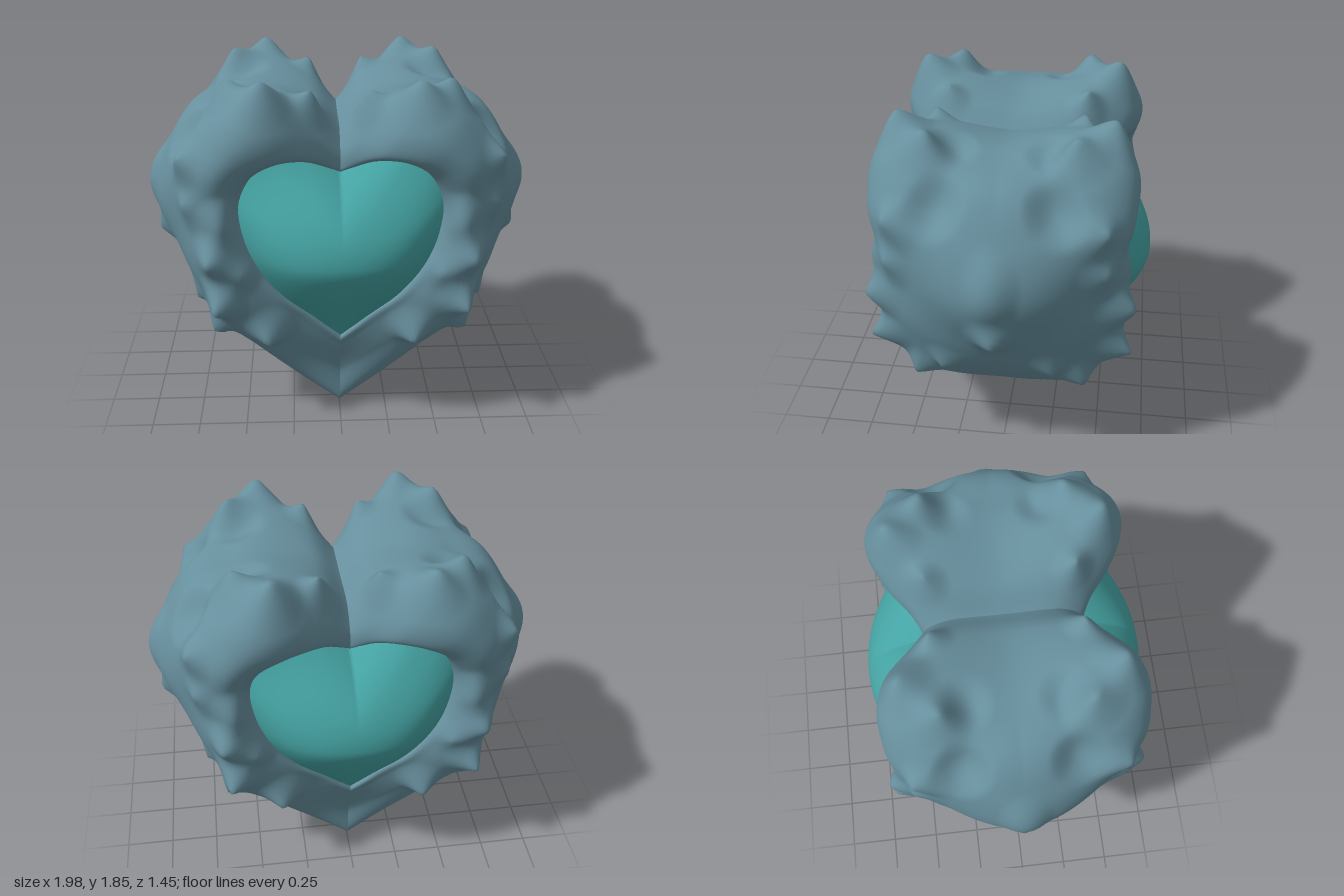
import * as THREE from 'three';
import { mergeVertices } from 'three/addons/utils/BufferGeometryUtils.js';

// Stations up one half of the heart, from the bottom tip to the notch:
// mid [x, y], edge [x, y, z], front bulge depth, lip depth, inner rim [x, y, z]
const STATIONS = [
  [[0, 0.01], [0, 0.045, 0.345], 0.37, 0.43, [0, 0.49, 0.45]],
  [[0.22, 0.19], [0.2, 0.2, 0.35], 0.425, 0.47, [0.13, 0.61, 0.48]],
  [[0.47, 0.41], [0.42, 0.42, 0.41], 0.51, 0.525, [0.3, 0.77, 0.52]],
  [[0.69, 0.63], [0.6, 0.63, 0.48], 0.58, 0.565, [0.43, 0.95, 0.53]],
  [[0.86, 0.9], [0.69, 0.9, 0.5], 0.6, 0.575, [0.49, 1.13, 0.52]],
  [[0.96, 1.2], [0.73, 1.2, 0.49], 0.58, 0.56, [0.5, 1.27, 0.5]],
  [[0.87, 1.46], [0.73, 1.48, 0.49], 0.625, 0.59, [0.43, 1.4, 0.48]],
  [[0.67, 1.64], [0.6, 1.69, 0.47], 0.63, 0.6, [0.3, 1.46, 0.46]],
  [[0.4, 1.73], [0.37, 1.77, 0.45], 0.575, 0.54, [0.18, 1.45, 0.43]],
  [[0.14, 1.68], [0.14, 1.7, 0.36], 0.445, 0.44, [0.07, 1.41, 0.41]],
  [[0, 1.57], [0, 1.57, 0.28], 0.38, 0.395, [0, 1.38, 0.39]],
];

// Pointed thorns: position, radius, offset of the tip (mirrored in x and z)
const THORNS = [
  [0.37, 1.77, 0.5, 0.18, 0, 0.1, 0.01],
  [0.53, 1.73, 0.34, 0.17, 0.01, 0.11, 0],
  [0.14, 1.7, 0.36, 0.13, 0, 0.08, 0],
  [0.9, 0.95, 0, 0.16, 0.075, -0.02, 0],
  [0.75, 1.46, 0.45, 0.16, 0.03, 0.03, 0.06],
  [0.36, 0.58, 0.5, 0.15, 0.01, -0.06, 0.08],
  [0.61, 0.6, 0.38, 0.14, 0.02, -0.06, 0.04],
  [0.72, 0.7, 0.25, 0.13, 0.02, -0.05, 0.02],
  [0.61, 0.76, 0.55, 0.16, 0.02, -0.03, 0.11],
  [0.5, 0.92, 0.57, 0.13, -0.01, 0, 0.04],
  [0.62, 1.0, 0.57, 0.16, 0.02, 0, 0.08],
  [0.72, 1.24, 0.49, 0.16, 0.04, 0.02, 0.03],
];
// Rounded lumps and hollows, in the same layout, with a vertical stretch at the end
const LUMPS = [
  [0.58, 1.2, 0.56, 0.11, 0, 0, 0.045, 1.5],
  [0.95, 1.26, 0, 0.15, 0.035, 0, 0, 1.6],
  [0.42, 1.67, 0.5, 0.25, 0, 0.03, 0.025, 1],
  [0.72, 1.6, 0.05, 0.22, 0.01, 0.03, 0, 1],
  [0.48, 1.7, 0.24, 0.15, 0, -0.05, 0, 1],
  [0.74, 1.55, 0.27, 0.16, -0.05, -0.04, 0, 1.2],
];

const spline = (pts) => new THREE.CatmullRomCurve3(pts, false, 'centripetal');
const vec = (x, y, z) => new THREE.Vector3(x, y, z);
// Point on the front face, k of the way from the edge to the inner rim
const facePoint = (e, i, k, z) => vec(e[0] + (i[0] - e[0]) * k, e[1] + (i[1] - e[1]) * k, z);
const midLine = spline(STATIONS.map(([m]) => vec(m[0], m[1], 0)));
const edgeLine = spline(STATIONS.map(([, e]) => vec(...e)));
const bulgeLine = spline(STATIONS.map(([, e, z, , i]) => facePoint(e, i, 0.46, z)));
const lipLine = spline(STATIONS.map(([, e, , z, i]) => facePoint(e, i, 0.85, z)));
const rimLine = spline(STATIONS.map((s) => vec(...s[4])));

// Surface over a grid of f(u, v), optionally mirrored
function gridSurface(nu, nv, f, sx = 1, sz = 1) {
  const pos = [], index = [];
  for (let i = 0; i <= nu; i++) {
    const row = f(i / nu);
    for (let j = 0; j <= nv; j++) {
      const p = row(j / nv);
      pos.push(p.x * sx, p.y, p.z * sz);
    }
  }
  for (let i = 0; i < nu; i++) for (let j = 0; j < nv; j++) {
    const a = i * (nv + 1) + j, b = a + nv + 1;
    if (sx * sz > 0) index.push(a, b, b + 1, a, b + 1, a + 1);
    else index.push(a, b + 1, b, a, a + 1, b + 1);
  }
  let g = new THREE.BufferGeometry();
  g.setAttribute('position', new THREE.Float32BufferAttribute(pos, 3));
  g.setIndex(index);
  g = mergeVertices(g, 1e-5);
  g.computeVertexNormals();
  return g;
}

// Push thorns, lumps, a ragged side ledge and a soft ripple out of the shell
function sculpt(p) {
  const { smoothstep } = THREE.MathUtils;
  const az = Math.abs(p.z), sz = Math.sign(p.z);
  const d = vec(0, 0, 0);
  const add = (s, w) => d.add(vec(s[4] * w, s[5] * w, s[6] * w * sz));
  for (const s of THORNS) {
    const r = Math.hypot(p.x - s[0], p.y - s[1], az - s[2]) / s[3];
    if (r < 1) add(s, (1 - r) ** 2 * (1 + 0.5 * r));
  }
  for (const s of LUMPS) {
    const r = Math.hypot(p.x - s[0], (p.y - s[1]) / s[7], az - s[2]) / s[3];
    if (r < 1) add(s, (1 - r * r) ** 2);
  }
  const out = vec(p.x, p.y - 0.95, p.z * 0.8).normalize();
  const ledgeY = 0.43 + 0.5 * az * az + 0.02 * Math.sin(p.z * 17 + 1);
  const ledge = smoothstep(p.y, ledgeY, ledgeY + 0.03)
    * (1 - smoothstep(p.y, 0.55, 0.8)) * (1 - smoothstep(az, 0.38, 0.48));
  const ripple = Math.sin(p.x * 9 + p.y * 5) * Math.sin(p.y * 8 - az * 6);
  d.addScaledVector(out, 0.02 * ledge + 0.008 * ripple * smoothstep(p.y, 0.45, 0.7));
  d.x *= Math.min(1, p.x / 0.1);
  return p.add(d);
}

// Cross-section of the shell, from the back rim over the outside to the front rim
function shellSection(u) {
  const [m, e, b, l, r] = [midLine, edgeLine, bulgeLine, lipLine, rimLine].map((c) => c.getPoint(u));
  const front = [e, b, l, r, vec(r.x, r.y, r.z - 0.08)];
  const back = front.map((q) => vec(q.x, q.y, -q.z)).reverse();
  const c = spline([...back, m, ...front]);
  return (v) => sculpt(c.getPointAt(v));
}

// Dome over the heart opening: rounded above its crown, flatter and sloping below
function domeHeight(x, y) {
  const dy = y - 1;
  const drop = dy > 0 ? 1.8 * dy * dy : 0.64 * (Math.hypot(dy, 0.08) - 0.08);
  return 0.725 - 0.62 * x * x - drop;
}

// Dome from rim to crown; u runs up the left half and down the right
function domeSection(u) {
  const sx = u > 0.5 ? -1 : 1;
  const r = rimLine.getPoint(u > 0.5 ? 2 - u * 2 : u * 2);
  const ease = r.z - 0.02 - domeHeight(r.x, r.y);
  return (v) => {
    const t = (1 - v) * 1.02;
    const x = r.x * t, y = 1 + (r.y - 1) * t;
    return vec(x * sx, y, domeHeight(x, y) + ease * t ** 4);
  };
}

export function createModel() {
  const model = new THREE.Group();
  model.name = 'thornyHeart';
  const shellMat = new THREE.MeshStandardMaterial({ color: 0x678f9d });
  const domeMat = new THREE.MeshStandardMaterial({ color: 0x45a3a3 });
  const addMesh = (name, geometry, material) => {
    const mesh = new THREE.Mesh(geometry, material);
    mesh.name = name;
    model.add(mesh);
  };
  addMesh('leftShell', gridSurface(120, 160, shellSection), shellMat);
  addMesh('rightShell', gridSurface(120, 160, shellSection, -1), shellMat);
  addMesh('frontDome', gridSurface(120, 30, domeSection), domeMat);
  addMesh('backDome', gridSurface(120, 30, domeSection, 1, -1), domeMat);
  return model;
}
